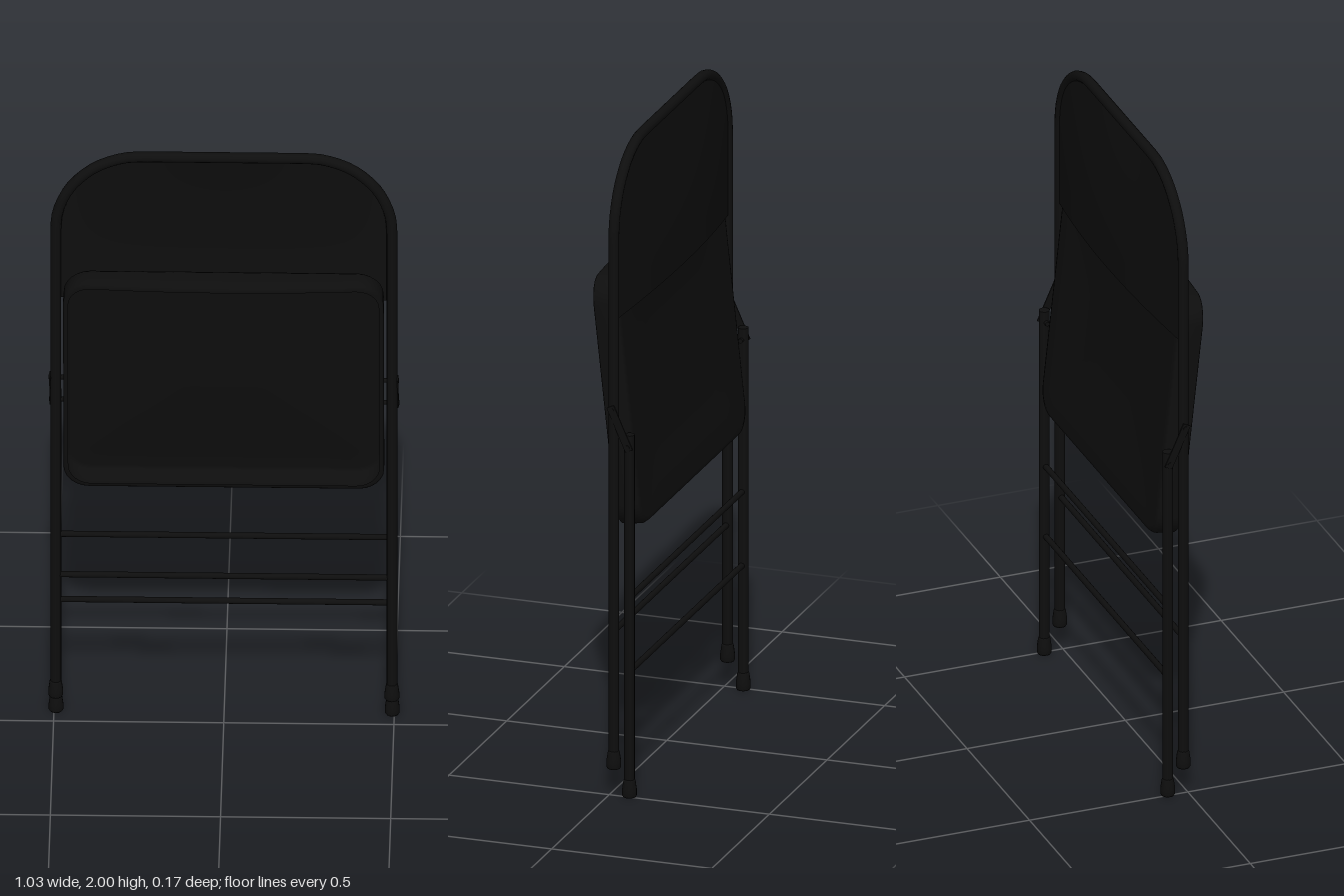
import * as THREE from 'three';

const BLACK = 0x0e0e0e;
const solid = new THREE.MeshStandardMaterial({ color: BLACK });
const sheet = new THREE.MeshStandardMaterial({ color: BLACK, side: THREE.DoubleSide });

const LEG_X = 0.494, TUBE_R = 0.016;
const FRONT_Z = -0.012, REAR_Z = -0.061;
const CORNER_R = 0.25, TOP_Y = 1.984;

function add(parent, name, geometry, material = solid) {
  const mesh = new THREE.Mesh(geometry, material);
  mesh.name = name;
  parent.add(mesh);
  return mesh;
}

// Straight rod along x
function rodX(parent, name, x0, x1, y, z, r) {
  const rod = add(parent, name, new THREE.CylinderGeometry(r, r, Math.abs(x1 - x0), 12));
  rod.rotation.z = Math.PI / 2;
  rod.position.set((x0 + x1) / 2, y, z);
  return rod;
}

// Rubber foot that flares towards the ground
function foot(parent, name, x, y, z) {
  const profile = [[0, 0], [0.019, 0], [0.022, 0.005], [0.022, 0.022], [0.018, 0.05], [0.016, 0.055], [0, 0.055]]
    .map(([r, h]) => new THREE.Vector2(r, h));
  add(parent, name, new THREE.LatheGeometry(profile, 14)).position.set(x, y, z);
}

// Bent tube forming the front legs and the back frame
function frameCurve() {
  const path = new THREE.CurvePath();
  const v = (x, y) => new THREE.Vector3(x, y, FRONT_Z);
  const cx = LEG_X - CORNER_R, cy = TOP_Y - CORNER_R;
  const pts = [v(-LEG_X, 0.11), v(-LEG_X, 0.6), v(-LEG_X, 1.2), v(-LEG_X, cy - 0.06)];
  const arc = (sx, from, to) => {
    for (let i = 0; i <= 10; i++) {
      const a = from + (to - from) * i / 10;
      pts.push(v(sx * cx + CORNER_R * Math.cos(a), cy + CORNER_R * Math.sin(a)));
    }
  };
  arc(-1, Math.PI, Math.PI / 2);
  pts.push(v(0, TOP_Y));
  arc(1, Math.PI / 2, 0);
  pts.push(v(LEG_X, cy - 0.06), v(LEG_X, 1.2), v(LEG_X, 0.6), v(LEG_X, 0.11));
  for (let i = 1; i < pts.length; i++) path.add(new THREE.LineCurve3(pts[i - 1], pts[i]));
  return path;
}

// Curved sheet filling the top of the frame, bulging to the rear
function backrestGeometry() {
  const g = new THREE.PlaneGeometry(2, 1, 28, 28);
  const p = g.attributes.position;
  const cy = TOP_Y - CORNER_R;
  for (let i = 0; i < p.count; i++) {
    const u = p.getX(i), v = 0.5 - p.getY(i);
    const t = v * v * 0.3 + v * 0.7;
    const y = TOP_Y - 0.504 * t;
    const dy = Math.max(0, y - cy);
    const half = LEG_X - CORNER_R + Math.sqrt(Math.max(0, CORNER_R ** 2 - dy * dy));
    const x = u * half;
    const across = 1 - (x / LEG_X) ** 2;
    const bulge = across * Math.sin(Math.min(1, (TOP_Y - y) / 0.4) * Math.PI / 2);
    p.setXYZ(i, x, y + 0.018 * across * t ** 6, FRONT_Z - 0.005 - 0.038 * bulge);
  }
  g.computeVertexNormals();
  return g;
}

// Points round a rounded rectangle, with subdivided edges
function roundedLoop(hw, hh, r) {
  const pts = [];
  const corners = [[1, 1], [-1, 1], [-1, -1], [1, -1]];
  corners.forEach(([sx, sy], k) => {
    for (let i = 0; i <= 6; i++) {
      const a = (k + i / 6) * Math.PI / 2;
      pts.push([sx * (hw - r) + r * Math.cos(a), sy * (hh - r) + r * Math.sin(a)]);
    }
    const [nx, ny] = corners[(k + 1) % 4];
    const end = [nx * (hw - r) + r * Math.cos((k + 1) * Math.PI / 2), ny * (hh - r) + r * Math.sin((k + 1) * Math.PI / 2)];
    const start = pts[pts.length - 1];
    for (let i = 1; i < 12; i++) {
      pts.push([start[0] + (end[0] - start[0]) * i / 12, start[1] + (end[1] - start[1]) * i / 12]);
    }
  });
  return pts;
}

// Pressed seat pan: dished face, rounded edge, side walls and a return lip
function seatGeometry() {
  const W = 0.471, H = 0.386;
  const rings = [ // inset, depth
    [0.34, 0.014], [0.24, 0.012], [0.15, 0.007], [0.07, 0.001], [0.02, 0],
    [0.008, 0.004], [0.001, 0.016], [0, 0.045], [0, 0.073], [0.004, 0.077], [0.014, 0.077],
  ];
  const pos = [0, 0, 0.015], idx = [];
  let n = 0;
  rings.forEach(([inset, depth], k) => {
    const loop = roundedLoop(W - inset, H - inset, Math.max(0.02, 0.075 - inset * 0.5));
    n = loop.length;
    for (const [x, y] of loop) {
      // The upper wall is deepest in the middle
      const top = Math.max(0, Math.min(1, (y - H + 0.06) / 0.04));
      const extra = depth > 0.04 && inset < 0.05 ? 0.018 * top * (1 - (x / W) ** 2) * depth / 0.077 : 0;
      pos.push(x, y, depth + extra);
    }
    for (let i = 0; i < n; i++) {
      const j = (i + 1) % n, b = 1 + k * n;
      if (k === 0) idx.push(0, b + j, b + i);
      else idx.push(b - n + i, b - n + j, b + j, b - n + i, b + j, b + i);
    }
  });
  const g = new THREE.BufferGeometry();
  g.setAttribute('position', new THREE.Float32BufferAttribute(pos, 3));
  g.setIndex(idx);
  g.computeVertexNormals();
  return g;
}

export function createModel() {
  const chair = new THREE.Group();
  chair.name = 'foldedChair';

  add(chair, 'frontFrame', new THREE.TubeGeometry(frameCurve(), 160, TUBE_R, 12));
  add(chair, 'backrest', backrestGeometry(), sheet);

  const seat = add(chair, 'seat', seatGeometry(), sheet);
  seat.position.set(0, 1.21, -0.049);
  seat.rotation.x = 0.107;

  // Cross rungs: outer two on the rear legs, middle one on the front legs
  [[0.62, REAR_Z], [0.51, FRONT_Z], [0.39, REAR_Z]].forEach(([y, z]) =>
    rodX(chair, 'rung', -LEG_X, LEG_X, y, z, 0.009));

  for (const s of [-1, 1]) {
    const side = s > 0 ? 'left' : 'right';
    const leg = add(chair, side + 'RearLeg', new THREE.CylinderGeometry(TUBE_R, TUBE_R, 1.1, 12));
    leg.position.set(s * LEG_X, 0.58, REAR_Z);
    foot(chair, side + 'RearFoot', s * LEG_X, 0, REAR_Z);
    foot(chair, side + 'FrontFoot', s * LEG_X, 0.083, FRONT_Z);

    // Folding link between the front frame and the rear leg
    const hinge = new THREE.Group();
    hinge.name = side + 'Hinge';
    chair.add(hinge);
    const a = [1.205, FRONT_Z], b = [1.095, REAR_Z];
    const link = add(hinge, 'link', new THREE.BoxGeometry(0.004, Math.hypot(a[0] - b[0], a[1] - b[1]) + 0.024, 0.024));
    link.position.set(s * 0.511, (a[0] + b[0]) / 2, (a[1] + b[1]) / 2);
    link.rotation.x = Math.atan2(a[1] - b[1], a[0] - b[0]);
    for (const [y, z] of [a, b]) rodX(hinge, 'pivotPin', s * 0.468, s * 0.515, y, z, 0.007);
  }
  return chair;
}
